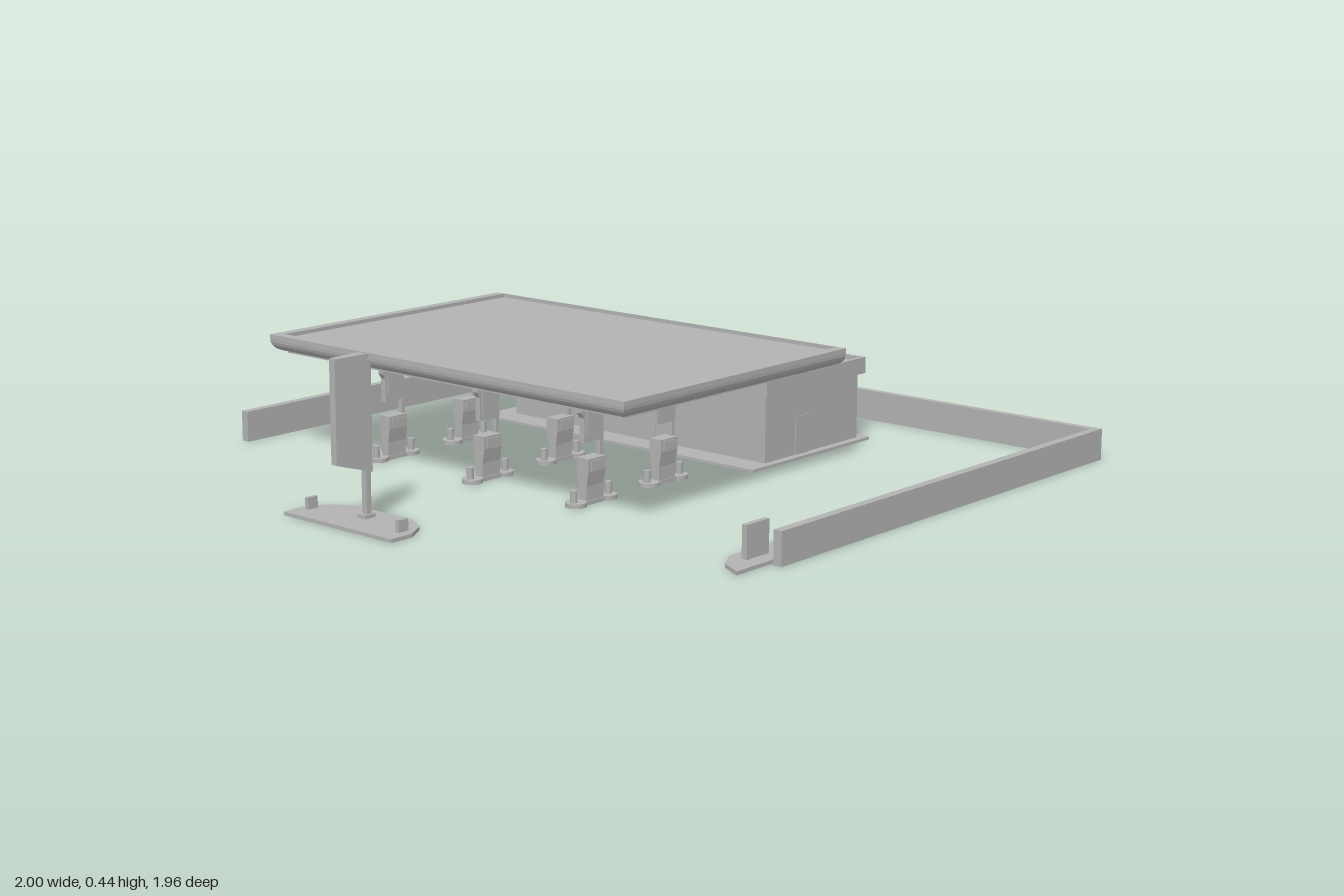
import * as THREE from 'three';

const grey = new THREE.MeshStandardMaterial({ color: 0xb2b2b2 });
grey.name = 'concrete grey';

function mesh(parent, name, geo) {
  const m = new THREE.Mesh(geo, grey);
  m.name = name;
  parent.add(m);
  return m;
}

// Box given by its limits
function box(parent, name, x0, x1, y0, y1, z0, z1) {
  const m = mesh(parent, name, new THREE.BoxGeometry(x1 - x0, y1 - y0, z1 - z0));
  m.position.set((x0 + x1) / 2, (y0 + y1) / 2, (z0 + z1) / 2);
  return m;
}

const shapeOf = pts => new THREE.Shape(pts.map(p => new THREE.Vector2(p[0], p[1])));
const extrude = (shape, depth) =>
  new THREE.ExtrudeGeometry(shape, { depth, bevelEnabled: false, curveSegments: 14 });

// Flat plate from [x, z] outline, bottom at y = 0
function floorPlate(parent, name, pts, height) {
  return mesh(parent, name, extrude(shapeOf(pts.map(p => [p[0], -p[1]])), height).rotateX(-Math.PI / 2));
}

// Upright panel from [z, y] outline, centred on x
function sidePanel(parent, name, pts, x, thick) {
  const geo = extrude(shapeOf(pts), thick).translate(0, 0, -thick / 2).rotateY(-Math.PI / 2);
  const m = mesh(parent, name, geo);
  m.position.x = x;
  return m;
}

// Closed solid through rectangular rings [x0, x1, z0, z1, y]
function ringSolid(parent, name, rings) {
  const pos = [], idx = [];
  rings.forEach(([x0, x1, z0, z1, y], r) => {
    pos.push(x0, y, z1, x1, y, z1, x1, y, z0, x0, y, z0);
    if (r === 0) return;
    for (let i = 0; i < 4; i++) {
      const a = (r - 1) * 4 + i, b = (r - 1) * 4 + (i + 1) % 4;
      idx.push(a, b, b + 4, a, b + 4, a + 4);
    }
  });
  const t = (rings.length - 1) * 4;
  idx.push(0, 2, 1, 0, 3, 2, t, t + 1, t + 2, t, t + 2, t + 3);
  const g = new THREE.BufferGeometry();
  g.setAttribute('position', new THREE.Float32BufferAttribute(pos, 3));
  g.setIndex(idx);
  const flat = g.toNonIndexed();
  flat.computeVertexNormals();
  return mesh(parent, name, flat);
}

function post(parent, name, x, z, y0, y1, r) {
  const m = mesh(parent, name, new THREE.CylinderGeometry(r, r, y1 - y0, 12));
  m.position.set(x, (y0 + y1) / 2, z);
}

function group(parent, name) {
  const g = new THREE.Group();
  g.name = name;
  parent.add(g);
  return g;
}

function buildStore(root) {
  const g = group(root, 'store');
  box(g, 'storeFloor', -0.695, 0.36, 0, 0.008, -0.745, -0.2);
  box(g, 'storeBody', -0.632, 0.336, 0.008, 0.2, -0.715, -0.283);
  const [x0, x1, z0, z1] = [-0.637, 0.342, -0.745, -0.28], e = 0.013;
  ringSolid(g, 'storeRoof', [
    [x0, x1, z0, z1, 0.197], [x0, x1, z0, z1, 0.245],
    [x0 + e, x1 - e, z0 + e, z1 - e, 0.245], [x0 + e, x1 - e, z0 + e, z1 - e, 0.232],
  ]);
  // Doors and windows
  box(g, 'frontDoor', -0.19, -0.07, 0.008, 0.12, -0.283, -0.28);
  box(g, 'backDoor', 0.12, 0.18, 0.008, 0.11, -0.718, -0.715);
  box(g, 'backWindow', -0.2, 0.05, 0.09, 0.14, -0.718, -0.715);
  for (const x of [-0.635, 0.336]) box(g, 'sideDoor', x, x + 0.003, 0.008, 0.12, -0.48, -0.42);
  // Arched sign board over the entrance
  const arch = new THREE.Shape();
  const a0 = Math.PI / 2 - 0.54, a1 = Math.PI / 2 + 0.54;
  arch.absarc(0, 0, 0.35, a0, a1, false);
  arch.absarc(0, 0, 0.295, a1 - 0.04, a0 + 0.04, true);
  mesh(g, 'archedSign', extrude(arch, 0.012)).position.set(-0.13, -0.115, -0.281);
}

function buildCanopy(root) {
  const g = group(root, 'canopy');
  const ring = (d, y) => [-0.808 + d, 0.535 - d, -0.385 + d * 0.1, 0.54 - d, y];
  const rings = [ring(0.035, 0.295), ring(0.035, 0.302)];
  // Rounded lower edge on three sides
  for (let i = 1; i <= 6; i++) {
    const a = (i / 6) * Math.PI / 2;
    rings.push(ring(0.03 * (1 - Math.sin(a)), 0.335 - 0.033 * Math.cos(a)));
  }
  rings.push(ring(0, 0.349), ring(0.03, 0.349), ring(0.03, 0.338));
  ringSolid(g, 'canopyRoof', rings);
  for (const x of [-0.48, -0.14, 0.2])
    box(g, 'canopySupport', x - 0.014, x + 0.014, 0.23, 0.297, -0.335, -0.308);
}

function buildPump(root, x, z) {
  const g = group(root, 'fuelPump');
  // Island with widened round ends
  const w = 0.017, r = 0.03, l = 0.06;
  box(g, 'island', -w, w, 0, 0.012, -l, l);
  for (const s of [-1, 1]) {
    post(g, 'islandEnd', 0, s * l, 0, 0.012, r);
    post(g, 'bollard', 0, s * (l + 0.008), 0.012, 0.045, 0.01);
  }
  // Pump cabinet
  box(g, 'pumpBase', -0.014, 0.014, 0.012, 0.05, -0.034, 0.034);
  ringSolid(g, 'pumpCabinet', [
    [-0.014, 0.014, -0.034, 0.034, 0.05], [-0.021, 0.021, -0.034, 0.034, 0.09],
    [-0.021, 0.021, -0.034, 0.034, 0.126],
  ]);
  for (const s of [-1, 1])
    box(g, 'pumpDisplay', s * 0.022 - 0.002, s * 0.022 + 0.002, 0.095, 0.12, -0.024, 0.024);
  // Column and number panel under the canopy
  box(g, 'column', -0.007, 0.007, 0.012, 0.297, -0.039, -0.028);
  sidePanel(g, 'overheadPanel', [[-0.039, 0.168], [0.036, 0.168], [0.036, 0.235],
    [0.046, 0.25], [0.046, 0.265], [0.038, 0.297], [-0.039, 0.297]], 0, 0.018);
  box(g, 'panelFrame', -0.012, 0.012, 0.19, 0.28, -0.03, 0.028);
  g.position.set(x, 0, z);
}

function buildPriceSign(root) {
  const g = group(root, 'priceSign');
  floorPlate(g, 'signIsland', [[-0.265, 0.972], [0.14, 0.972], [0.14, 0.9], [0.105, 0.84],
    [0.04, 0.805], [-0.165, 0.805], [-0.23, 0.84], [-0.265, 0.9]], 0.01);
  box(g, 'signFoot', -0.078, -0.048, 0.01, 0.02, 0.85, 0.885);
  box(g, 'signPost', -0.072, -0.054, 0.01, 0.44, 0.858, 0.874);
  // Board narrows toward its front edge
  const board = sidePanel(g, 'signBoard', [[0.858, 0.132], [0.975, 0.167], [0.975, 0.443],
    [0.872, 0.443], [0.872, 0.428], [0.858, 0.428]], -0.063, 0.034);
  const p = board.geometry.attributes.position;
  for (let i = 0; i < p.count; i++)
    if (p.getZ(i) > 0.9) p.setX(i, p.getX(i) * 0.6);
  board.geometry.computeVertexNormals();
  for (const x of [-0.237, 0.105]) box(g, 'smallBollard', x - 0.006, x + 0.006, 0.01, 0.042, 0.885, 0.918);
}

function buildAirStation(root) {
  const g = group(root, 'airStation');
  floorPlate(g, 'airIsland', [[0.965, 0.22], [0.9, 0.25], [0.865, 0.315], [0.865, 0.525],
    [0.9, 0.585], [0.965, 0.62]], 0.01);
  box(g, 'airUnit', 0.905, 0.921, 0.01, 0.098, 0.44, 0.527);
  box(g, 'airHose', 0.877, 0.884, 0.01, 0.04, 0.45, 0.472);
}

export function createModel() {
  const root = new THREE.Group();
  root.name = 'fuelStation';

  // Low boundary wall on three sides
  const walls = group(root, 'boundaryWall');
  box(walls, 'backWall', -1, 1, 0, 0.09, -0.98, -0.958);
  for (const s of [-1, 1]) box(walls, 'sideWall', s * 0.9875 - 0.0125, s * 0.9875 + 0.0125, 0, 0.09, -0.958, 0.492);

  buildStore(root);
  buildCanopy(root);
  for (const x of [-0.52, -0.145, 0.24])
    for (const z of [0.338, 0.044]) buildPump(root, x, z);
  buildPriceSign(root);
  buildAirStation(root);
  return root;
}
